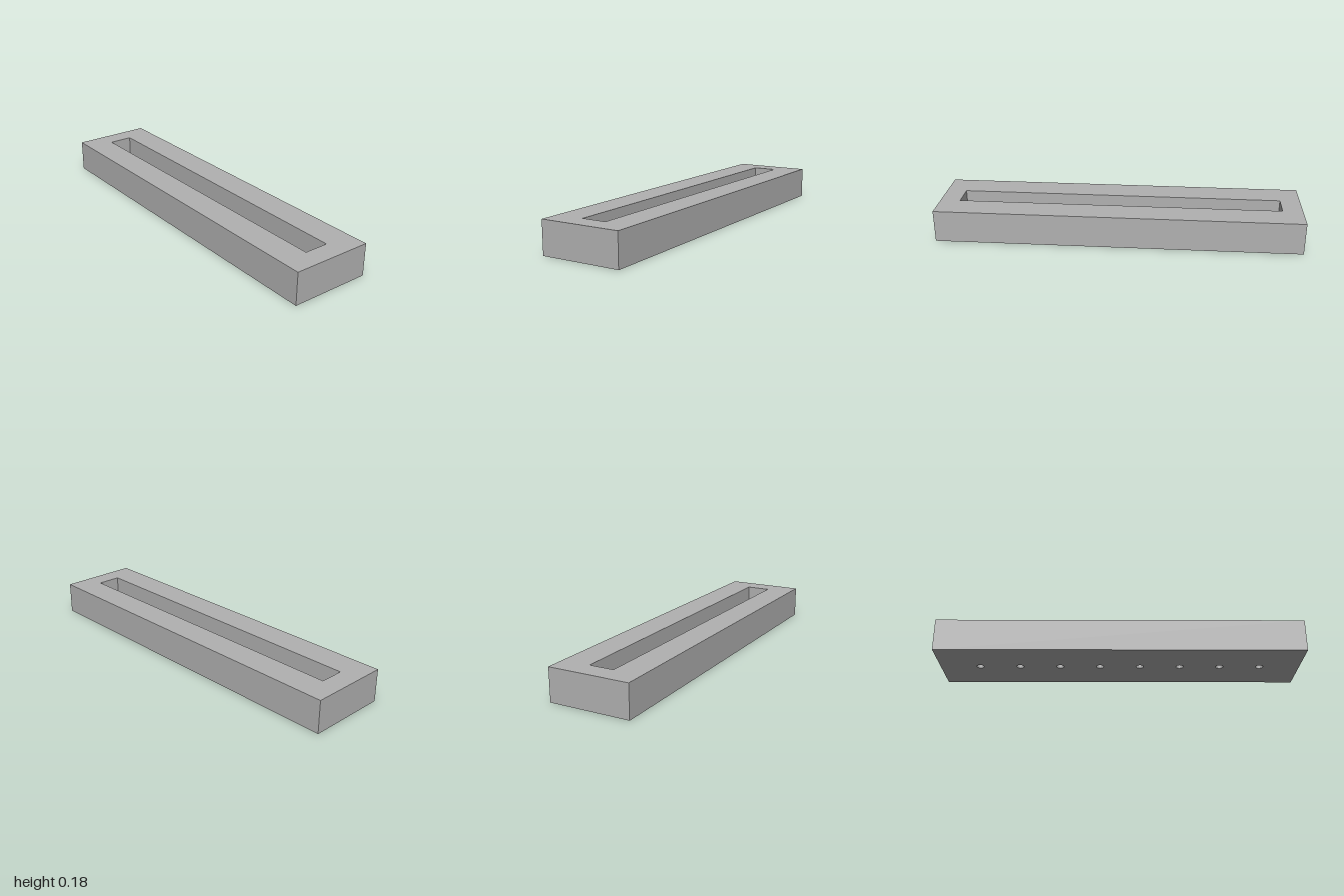
import * as THREE from 'three';
import { mergeGeometries } from 'three/addons/utils/BufferGeometryUtils.js';

const L = 2, W = 0.444, H = 0.178;          // block
const SLOT_L = 1.78, SLOT_W = 0.134, FLOOR = 0.044; // slot and its floor height
const HOLE_R = 0.021, HOLES = 8, PITCH = 2 / 9;

// Counter-clockwise outlines
const rect = (l, w) => [[-1, -1], [1, -1], [1, 1], [-1, 1]]
  .map(([x, y]) => new THREE.Vector2(x * l / 2, y * w / 2));
const circle = (cx, r, n = 32) => Array.from({ length: n }, (_, i) => {
  const a = i / n * Math.PI * 2;
  return new THREE.Vector2(cx + r * Math.cos(a), r * Math.sin(a));
});

// Flat horizontal face with holes, facing up or down
function face(outline, holes, y, up) {
  const shape = new THREE.Shape(outline);
  shape.holes = holes.map((h) => new THREE.Path(h));
  const g = new THREE.ShapeGeometry(shape).toNonIndexed();
  g.deleteAttribute('uv');
  return g.rotateX(up ? -Math.PI / 2 : Math.PI / 2).translate(0, y, 0);
}

// Vertical walls along an outline, facing outward or inward
function walls(outline, y0, y1, inward) {
  const pts = inward ? [...outline].reverse() : outline;
  const pos = [];
  pts.forEach((a, i) => {
    const b = pts[(i + 1) % pts.length];
    pos.push(a.x, y0, -a.y, b.x, y0, -b.y, b.x, y1, -b.y);
    pos.push(a.x, y0, -a.y, b.x, y1, -b.y, a.x, y1, -a.y);
  });
  const g = new THREE.BufferGeometry();
  g.setAttribute('position', new THREE.Float32BufferAttribute(pos, 3));
  g.computeVertexNormals();
  return g;
}

export function createModel() {
  const grey = new THREE.MeshStandardMaterial({ color: 0xb0b0b0 });
  grey.name = 'grey';
  const group = new THREE.Group();
  group.name = 'slottedBlock';
  const add = (name, ...parts) => {
    const mesh = new THREE.Mesh(mergeGeometries(parts), grey);
    mesh.name = name;
    group.add(mesh);
  };

  const outer = rect(L, W), slot = rect(SLOT_L, SLOT_W);
  const holes = Array.from({ length: HOLES }, (_, i) =>
    circle((i - (HOLES - 1) / 2) * PITCH, HOLE_R));

  // Outer block: sides, rim around the slot and pierced underside
  add('block', walls(outer, 0, H, false), face(outer, [slot], H, true),
    face(outer, holes, 0, false));
  // Slot walls and floor
  add('slot', walls(slot, FLOOR, H, true), face(slot, holes, FLOOR, true));
  // Row of drain holes through the floor
  add('holes', ...holes.map((h) => walls(h, 0, FLOOR, true)));
  return group;
}
